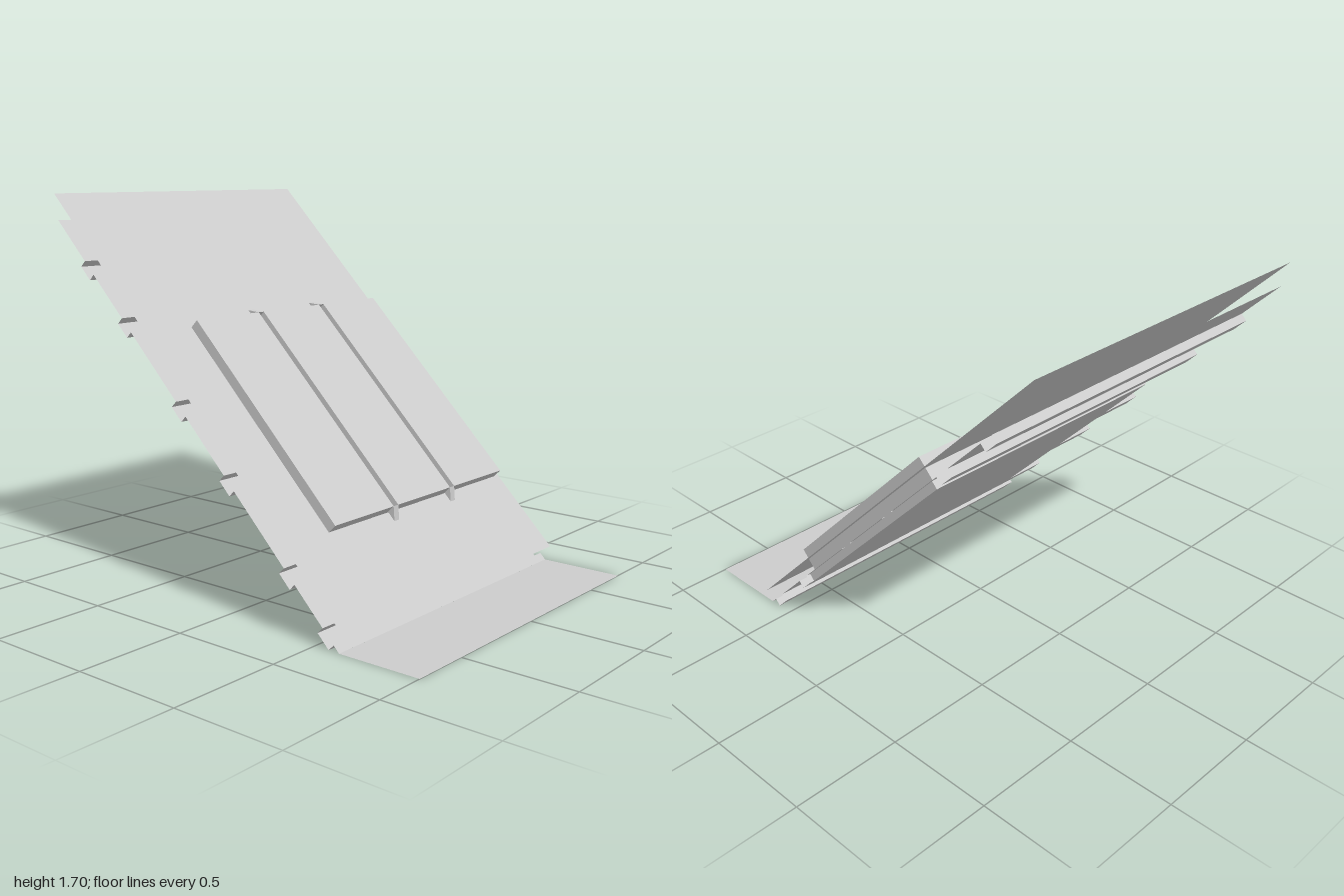
import * as THREE from 'three';

const mat = new THREE.MeshStandardMaterial({ color: 0xcccccc, flatShading: true });
const sheetMat = new THREE.MeshStandardMaterial({ color: 0xcccccc, flatShading: true, side: THREE.DoubleSide });

function add(parent, name, geometry, material = mat) {
  const mesh = new THREE.Mesh(geometry, material);
  mesh.name = name;
  parent.add(mesh);
  return mesh;
}

// Sweeps an open [x, y] profile across z as a thin folded sheet
function foldedSheet(profile, z0, z1) {
  const pos = [];
  for (let i = 0; i + 1 < profile.length; i++) {
    const [ax, ay] = profile[i], [bx, by] = profile[i + 1];
    pos.push(ax, ay, z0, ax, ay, z1, bx, by, z1, ax, ay, z0, bx, by, z1, bx, by, z0);
  }
  const g = new THREE.BufferGeometry();
  g.setAttribute('position', new THREE.Float32BufferAttribute(pos, 3));
  g.computeVertexNormals();
  return g;
}

export function createModel() {
  const model = new THREE.Group();
  model.name = 'slopedPanel';

  // Everything on the slope: local x runs downhill, local y is the panel normal
  const slope = new THREE.Group();
  slope.name = 'slopedAssembly';
  slope.rotation.z = -Math.PI / 4;
  model.add(slope);

  // Flat upper sheet
  add(slope, 'upperSheet', foldedSheet([[-1.913, 0.497], [0.407, 0.497]], -0.77, 0.755), sheetMat);

  // Lower sheet with pressed channels
  const top = 0.4405, floor = 0.405, width = 0.078;
  const profile = [[-1.807, top]];
  for (const a of [-1.566, -1.241, -0.788, -0.407, 0.046, 0.325]) {
    profile.push([a, top], [a, floor], [a + width, floor], [a + width, top]);
  }
  profile.push([0.4405, top]);
  add(slope, 'channelledSheet', foldedSheet(profile, -0.755, 0.765), sheetMat);

  // Horizontal flap at the foot
  add(model, 'footFlap', foldedSheet([[0.623, 0], [1, 0]], -0.755, 0.765), sheetMat);

  // Raised block with two grooves running downhill
  const a0 = -1.108, a1 = -0.0134, n0 = 0.438, n1 = 0.545, groove = 0.503, half = 0.0165;
  const grooveZ = [0.085, -0.335];
  const s = new THREE.Shape();
  s.moveTo(-0.49, n0);
  s.lineTo(0.737, n0);
  s.lineTo(0.737, n1);
  for (const z of [...grooveZ].reverse()) {
    s.lineTo(-z + half, n1);
    s.lineTo(-z + half, groove);
    s.lineTo(-z - half, groove);
    s.lineTo(-z - half, n1);
  }
  s.lineTo(-0.49, n1);
  const block = new THREE.ExtrudeGeometry(s, { depth: a1 - a0, bevelEnabled: false });
  block.rotateY(Math.PI / 2).translate(a0, 0, 0);
  add(slope, 'groovedBlock', block);

  // Wedges closing both ends of each groove
  for (const z of grooveZ) {
    for (const [a, dir] of [[a0, -1], [a1, 1]]) {
      const t = new THREE.Shape();
      t.moveTo(a, groove);
      t.lineTo(a + dir * 0.049, groove);
      t.lineTo(a, n1);
      const wedge = new THREE.ExtrudeGeometry(t, { depth: half * 2, bevelEnabled: false });
      add(slope, 'grooveEndWedge', wedge.translate(0, 0, z - half));
    }
  }

  // Base plate under the block
  const base = add(slope, 'basePlate', new THREE.BoxGeometry(1.137, 0.036, 1.265));
  base.position.set(-0.5585, 0.42, -0.1225);

  return model;
}
